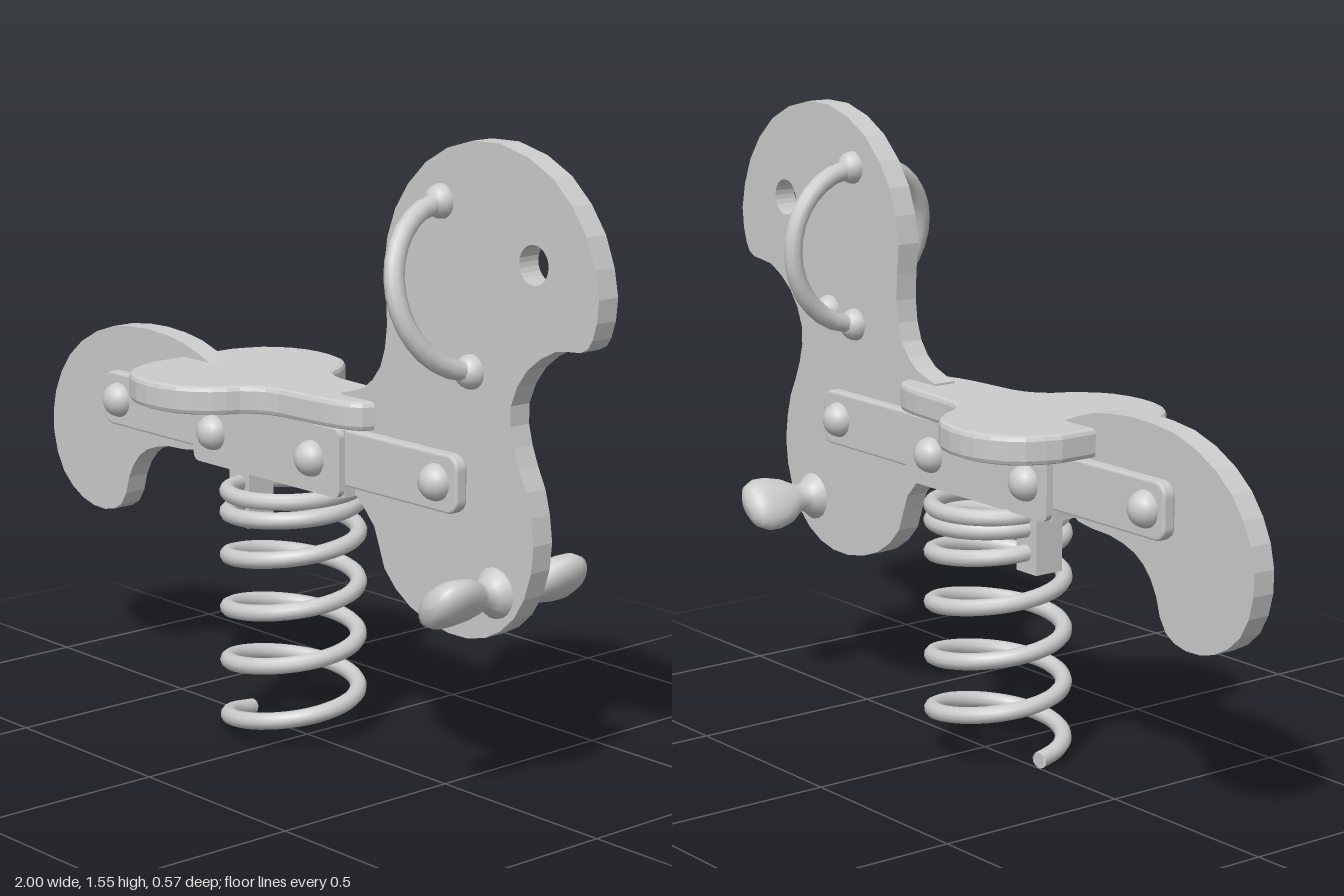
import * as THREE from 'three';

const mat = new THREE.MeshStandardMaterial({ color: 0xcccccc, side: THREE.DoubleSide });
const V3 = (x, y, z) => new THREE.Vector3(x, y, z);

function add(parent, name, geometry, x = 0, y = 0, z = 0) {
  const mesh = new THREE.Mesh(geometry, mat);
  mesh.name = name;
  mesh.position.set(x, y, z);
  parent.add(mesh);
  return mesh;
}

// Smooth open outline through a few points, closed by straight lines through the corners
function outline(points, corners = []) {
  const curve = new THREE.SplineCurve(points.map(p => new THREE.Vector2(...p)));
  const pts = curve.getPoints(points.length * 2);
  return new THREE.Shape([...pts, ...corners.map(p => new THREE.Vector2(...p))]);
}

function slab(shape, depth, bevel = 0) {
  const g = new THREE.ExtrudeGeometry(shape, {
    depth: depth - 2 * bevel, bevelEnabled: bevel > 0, bevelSize: bevel,
    bevelThickness: bevel, bevelOffset: -bevel, bevelSegments: 2, curveSegments: 12,
  });
  return g.translate(0, 0, bevel - depth / 2);
}

function roundedRect(x0, x1, y0, y1, r) {
  const s = new THREE.Shape();
  s.absarc(x1 - r, y1 - r, r, 0, Math.PI / 2);
  s.absarc(x0 + r, y1 - r, r, Math.PI / 2, Math.PI);
  s.absarc(x0 + r, y0 + r, r, Math.PI, Math.PI * 1.5);
  s.absarc(x1 - r, y0 + r, r, Math.PI * 1.5, Math.PI * 2);
  return s;
}

// Half-ring grip between two points on the panel, bulging out in z
function grip(top, bottom, side) {
  const mid = top.clone().add(bottom).multiplyScalar(0.5);
  const half = top.clone().sub(mid);
  const pts = [];
  for (let i = 0; i <= 8; i++) {
    const a = (i / 8) * Math.PI;
    const p = mid.clone().addScaledVector(half, Math.cos(a));
    p.z = side * (0.02 + 0.197 * Math.sin(a));
    pts.push(p);
  }
  return new THREE.TubeGeometry(new THREE.CatmullRomCurve3(pts), 16, 0.024, 10);
}

// Foot peg: round at the panel, flattened along a diagonal at the bulb
function pegGeometry() {
  const profile = [[0.062, 0], [0.06, 0.035], [0.042, 0.055], [0.034, 0.075], [0.044, 0.095],
    [0.064, 0.125], [0.074, 0.16], [0.074, 0.195], [0.06, 0.222], [0.035, 0.235], [0, 0.238]];
  const g = new THREE.LatheGeometry(profile.map(p => new THREE.Vector2(...p)), 20);
  const pos = g.attributes.position;
  for (let i = 0; i < pos.count; i++) {
    const t = THREE.MathUtils.smoothstep(pos.getY(i), 0.06, 0.15);
    pos.setZ(i, pos.getZ(i) * (1 - 0.4 * t));
  }
  g.rotateX(Math.PI / 2).rotateZ(Math.PI / 4);
  g.computeVertexNormals();
  return g;
}

export function createModel() {
  const model = new THREE.Group();
  model.name = 'springRocker';

  // Head panel with eye hole
  const head = outline([[0.16, 0.9], [0.24, 0.925], [0.3, 0.99], [0.32, 1.1], [0.31, 1.25], [0.36, 1.39],
    [0.48, 1.505], [0.65, 1.552], [0.83, 1.505], [0.95, 1.39], [1, 1.25], [0.985, 1.15], [0.95, 1.115],
    [0.87, 1.105], [0.78, 1.045], [0.732, 0.95], [0.75, 0.85], [0.795, 0.75], [0.812, 0.62], [0.77, 0.49],
    [0.68, 0.41], [0.56, 0.385], [0.42, 0.415], [0.32, 0.49], [0.28, 0.59], [0.21, 0.66]], [[0.16, 0.67]]);
  head.holes.push(new THREE.Path().absarc(0.8, 1.29, 0.046, 0, Math.PI * 2, true));
  add(model, 'headPanel', slab(head, 0.06));

  // Tail panel
  const tail = outline([[-0.34, 0.895], [-0.45, 0.932], [-0.6, 0.945], [-0.76, 0.925], [-0.9, 0.85],
    [-0.98, 0.74], [-1, 0.62], [-0.96, 0.51], [-0.87, 0.447], [-0.77, 0.436], [-0.7, 0.47], [-0.665, 0.56],
    [-0.61, 0.62], [-0.52, 0.65], [-0.4, 0.66], [-0.34, 0.7]]);
  add(model, 'tailPanel', slab(tail, 0.06));

  // Seat: broad rear lobe narrowing towards the head
  const side = [[-0.455, 0.13], [-0.42, 0.215], [-0.35, 0.268], [-0.26, 0.285], [-0.16, 0.262], [-0.095, 0.2],
    [-0.06, 0.14], [0, 0.108], [0.1, 0.1], [0.2, 0.088], [0.265, 0.06], [0.282, 0]];
  const mirrored = side.slice(0, -1).reverse().map(([x, z]) => [x, -z]);
  add(model, 'seat', slab(outline([...side, ...mirrored]), 0.07, 0.012).rotateX(Math.PI / 2), 0, 0.86, 0);

  // Clamp block on top of the spring
  add(model, 'clampBlock', new THREE.BoxGeometry(0.55, 0.165, 0.13), -0.065, 0.7375, 0);
  add(model, 'springBracket', new THREE.BoxGeometry(0.075, 0.16, 0.08), -0.2125, 0.58, 0);

  // Side bars, clamp plates, bolts and pegs on both sides
  const bolt = new THREE.SphereGeometry(0.045, 16, 12);
  const peg = pegGeometry();
  for (const s of [1, -1]) {
    add(model, 'sideBar', slab(roundedRect(-0.735, 0.595, 0.682, 0.822, 0.035), 0.034, 0.006), 0, 0, s * 0.046);
    add(model, 'clampPlate', slab(roundedRect(-0.34, 0.21, 0.655, 0.822, 0.02), 0.02), 0, 0, s * 0.072);
    for (const x of [-0.67, 0.525]) add(model, 'barBolt', bolt, x, 0.752, s * 0.06);
    for (const x of [-0.262, 0.11]) add(model, 'clampBolt', bolt, x, 0.738, s * 0.08);
    const p = add(model, 'footPeg', peg, 0.69, 0.515, 0);
    if (s < 0) p.rotation.set(Math.PI, 0, Math.PI / 2);
  }

  // Grips: front one tilted, back one upright, with ball ends
  const top = V3(0.5, 1.4, 0), low = V3(0.605, 1.02, 0), backLow = V3(0.495, 1.0, 0);
  add(model, 'frontGrip', grip(top, low, 1));
  add(model, 'backGrip', grip(top, backLow, -1));
  const ball = new THREE.SphereGeometry(0.041, 14, 10);
  for (const [p, z] of [[top, 0.03], [top, -0.03], [low, 0.03], [low, -0.03], [backLow, -0.03]]) {
    add(model, 'gripBall', ball, p.x, p.y, z);
  }

  // Coil spring, tightening towards the top
  const heights = [0.02, 0.095, 0.165, 0.233, 0.3, 0.368, 0.435, 0.5, 0.553, 0.588, 0.61, 0.63, 0.64];
  const coil = [];
  for (let i = 0; i <= 96; i++) {
    const k = Math.min(Math.floor(i / 8), heights.length - 2);
    const a = (i / 8) * Math.PI;
    const y = THREE.MathUtils.lerp(heights[k], heights[k + 1], i / 8 - k);
    coil.push(V3(-0.052 - 0.162 * Math.cos(a), y, 0.162 * Math.sin(a)));
  }
  const path = new THREE.CatmullRomCurve3(coil);
  add(model, 'spring', new THREE.TubeGeometry(path, 240, 0.021, 10));
  for (const p of [coil[0], coil[96]]) {
    add(model, 'springEnd', new THREE.CircleGeometry(0.021, 10), p.x, p.y, p.z);
  }
  return model;
}
